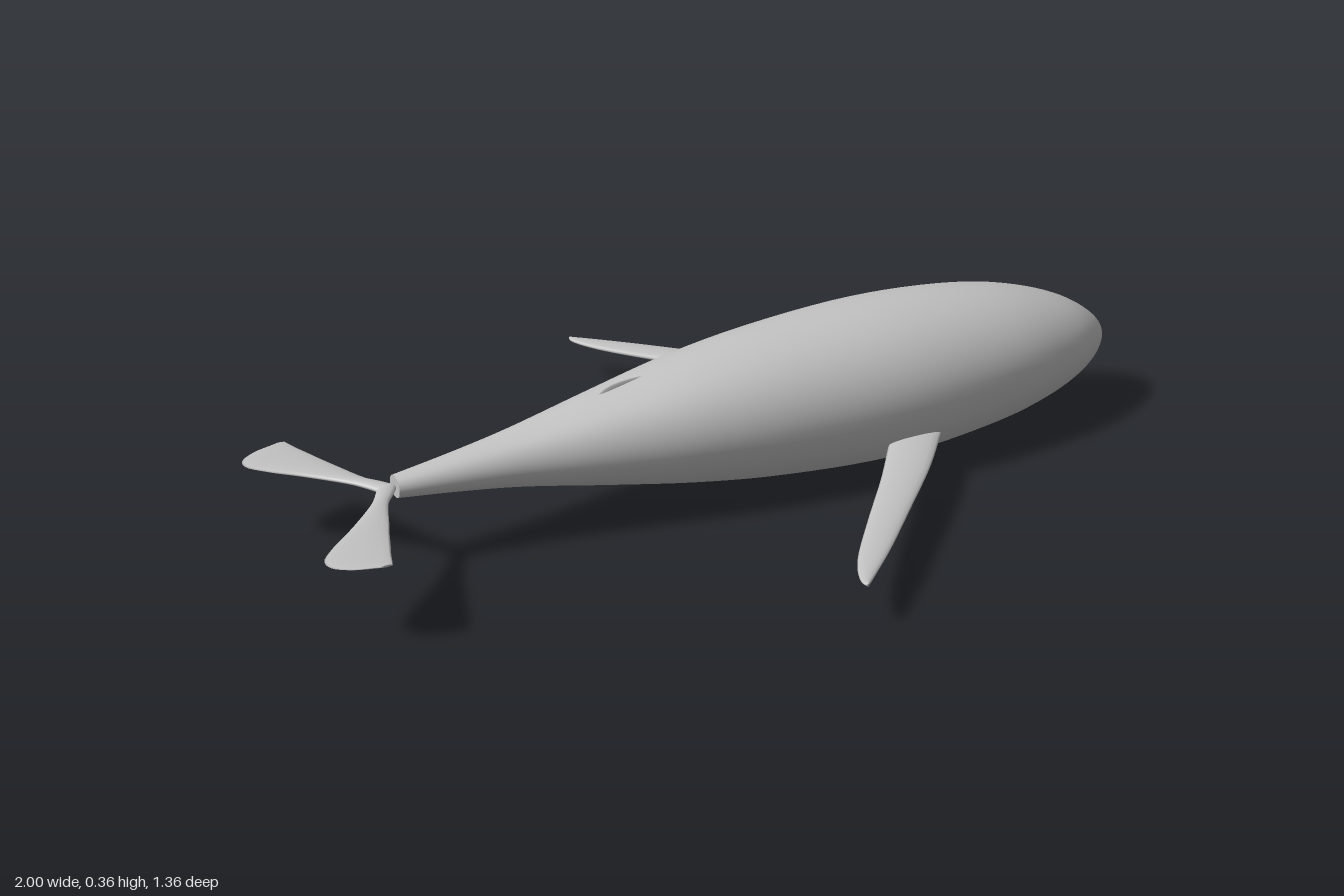
import * as THREE from 'three';

const skin = new THREE.MeshStandardMaterial({ color: 0xc2c2c2 });
skin.name = 'grey skin';

// Skins a row of elliptical sections {c: centre, a, b: half axes} and caps both ends.
function loft(sections, sides) {
  const first = sections[0], last = sections[sections.length - 1];
  const zero = new THREE.Vector3();
  // The end rings are doubled so the caps keep a crisp edge.
  const rings = [{ c: first.c, a: zero, b: zero }, first, ...sections, last, { c: last.c, a: zero, b: zero }];
  const positions = [], index = [];
  rings.forEach(({ c, a, b }, i) => {
    for (let j = 0; j < sides; j++) {
      const t = (j / sides) * Math.PI * 2;
      const p = c.clone().addScaledVector(a, Math.cos(t)).addScaledVector(b, Math.sin(t));
      positions.push(p.x, p.y, p.z);
      if (i === rings.length - 1) continue;
      const k = (j + 1) % sides;
      const p0 = i * sides + j, p1 = i * sides + k;
      index.push(p0, p0 + sides, p1, p1, p0 + sides, p1 + sides);
    }
  });
  const geometry = new THREE.BufferGeometry();
  geometry.setAttribute('position', new THREE.Float32BufferAttribute(positions, 3));
  geometry.setIndex(index);
  geometry.computeVertexNormals();
  return geometry;
}

function smooth(rows, steps) {
  return new THREE.CatmullRomCurve3(rows.map(r => new THREE.Vector3(...r))).getPoints(steps);
}

function part(name, geometry) {
  const mesh = new THREE.Mesh(geometry, skin);
  mesh.name = name;
  return mesh;
}

// Sections along x; rows are [x, centre height, half height].
function alongX(rows, steps, halfWidth) {
  return smooth(rows, steps).map(p => ({
    c: new THREE.Vector3(p.x, p.y, 0),
    a: new THREE.Vector3(0, 0, halfWidth(p.z)),
    b: new THREE.Vector3(0, p.z, 0),
  }));
}

// Flat fin along z; rows are [distance from centre, leading x, trailing x].
function fin(rows, side, y, thickness) {
  return loft(smooth(rows, 32).map((p, i) => ({
    c: new THREE.Vector3((p.y + p.z) / 2, y, p.x * side),
    a: new THREE.Vector3(((p.z - p.y) / 2) * side, 0, 0),
    b: new THREE.Vector3(0, thickness * (1 - 0.75 * (i / 32)), 0),
  })), 16);
}

const bodyRows = [
  [-0.76, 0.188, 0.024], [-0.64, 0.189, 0.039], [-0.5, 0.19, 0.06], [-0.3, 0.19, 0.1],
  [-0.1, 0.19, 0.138], [0.1, 0.188, 0.164], [0.38, 0.185, 0.18], [0.6, 0.185, 0.167],
  [0.75, 0.182, 0.143], [0.88, 0.177, 0.102], [0.95, 0.173, 0.063], [0.985, 0.172, 0.03],
  [0.997, 0.172, 0.004],
];
const flipperRows = [
  [0.17, 0.457, 0.32], [0.3, 0.345, 0.22], [0.45, 0.198, 0.095], [0.58, 0.068, -0.008],
  [0.64, 0.003, -0.042], [0.668, -0.028, -0.05], [0.68, -0.042, -0.047],
];
const flukeRows = [
  [0, -0.755, -0.8], [0.03, -0.775, -0.817], [0.06, -0.797, -0.838], [0.14, -0.828, -0.915],
  [0.19, -0.847, -0.968], [0.23, -0.861, -0.998], [0.26, -0.872, -0.995], [0.285, -0.88, -0.965],
  [0.303, -0.886, -0.91],
];
const dorsalRows = [
  [-0.305, 0.275, 0.01], [-0.285, 0.282, 0.018], [-0.26, 0.287, 0.021],
  [-0.22, 0.291, 0.021], [-0.18, 0.295, 0.016],
];

export function createModel() {
  const model = new THREE.Group();
  model.name = 'whale';

  model.add(part('body', loft(alongX(bodyRows, 64, h => h * 1.11), 48)));
  model.add(part('dorsalFin', loft(alongX(dorsalRows, 16, () => 0.004), 12)));

  // Paired fins; the model's nose points along +x.
  for (const side of [1, -1]) {
    const label = side > 0 ? 'front' : 'back';
    model.add(part(label + 'Flipper', fin(flipperRows, side, 0.102, 0.013)));
    model.add(part(label + 'TailFluke', fin(flukeRows, side, 0.187, 0.009)));
  }
  return model;
}
